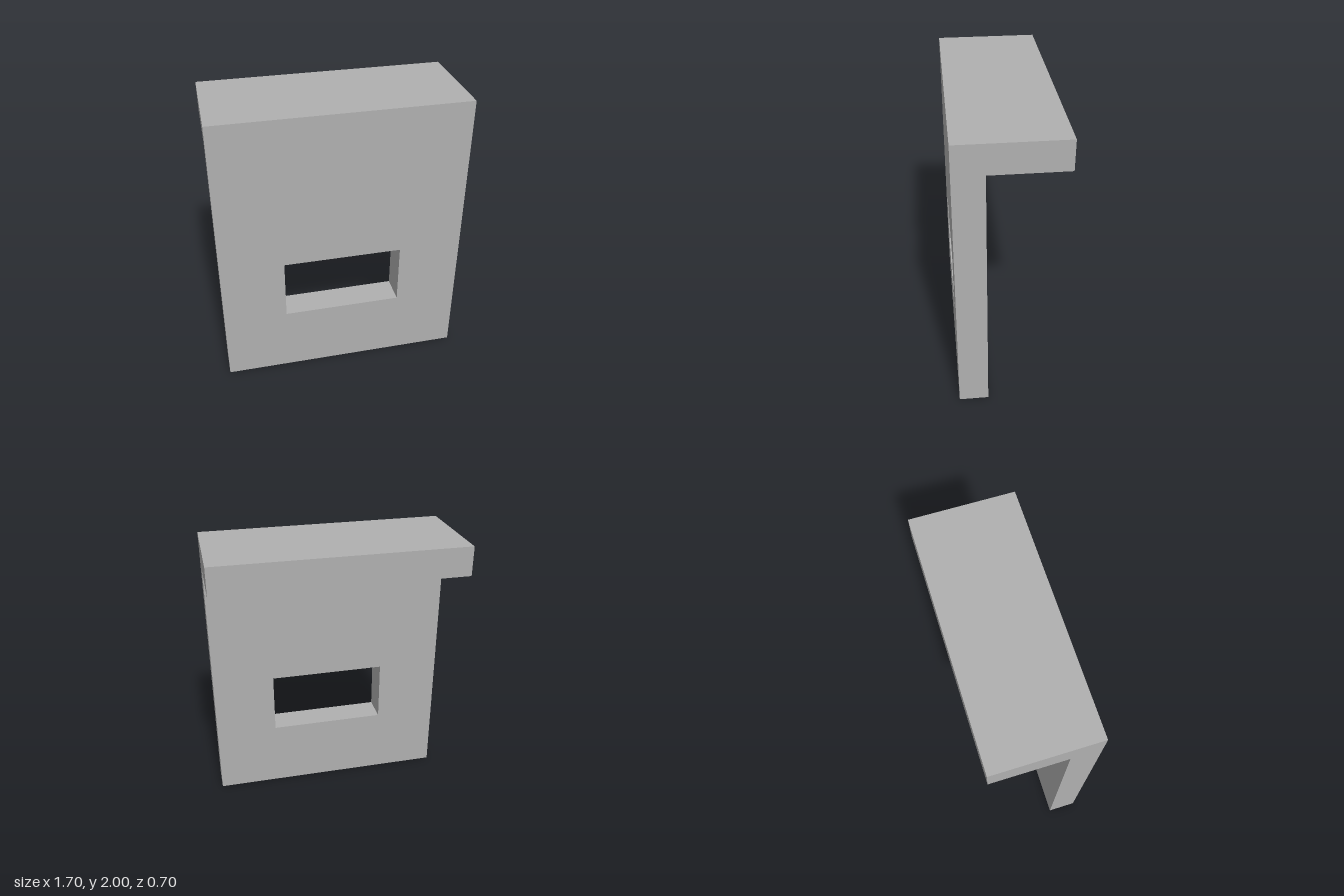
import * as THREE from 'three';

export function createModel() {
  const model = new THREE.Group();
  const grey = new THREE.MeshStandardMaterial({ color: 0xb0b0b0 });
  grey.name = 'grey';

  const halfWidth = 0.85, height = 2, thickness = 0.2, halfDepth = 0.35;

  const rectangle = (target, x0, y0, x1, y1) => {
    target.moveTo(x0, y0);
    target.lineTo(x1, y0);
    target.lineTo(x1, y1);
    target.lineTo(x0, y1);
    target.closePath();
    return target;
  };

  // Upright panel with a rectangular opening
  const outline = rectangle(new THREE.Shape(), -halfWidth, 0, halfWidth, height);
  outline.holes.push(rectangle(new THREE.Path(), -0.41, 0.485, 0.41, 0.92));
  const panel = new THREE.Mesh(
    new THREE.ExtrudeGeometry(outline, { depth: thickness, bevelEnabled: false }),
    grey
  );
  panel.name = 'frontPanel';
  panel.position.z = halfDepth - thickness;
  model.add(panel);

  // Ledge running backwards from the top of the panel
  const ledgeDepth = 2 * halfDepth - thickness;
  const ledge = new THREE.Mesh(
    new THREE.BoxGeometry(2 * halfWidth, thickness, ledgeDepth),
    grey
  );
  ledge.name = 'topLedge';
  ledge.position.set(0, height - thickness / 2, -halfDepth + ledgeDepth / 2);
  model.add(ledge);

  return model;
}
